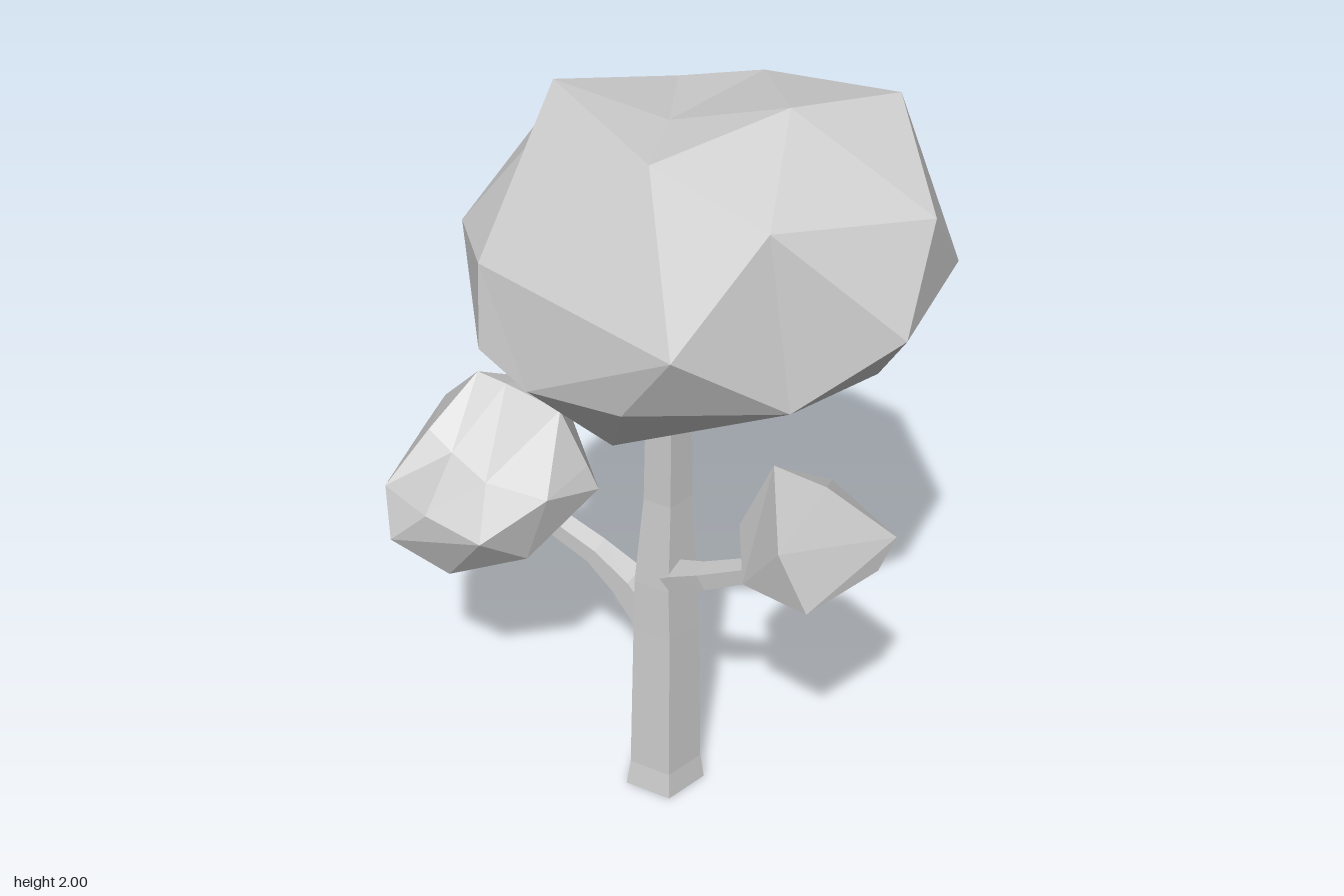
import * as THREE from 'three';
import { ConvexGeometry } from 'three/addons/geometries/ConvexGeometry.js';

const material = new THREE.MeshStandardMaterial({ color: 0xcccccc, flatShading: true });

function makeMesh(name, geometry) {
  geometry.computeVertexNormals();
  const mesh = new THREE.Mesh(geometry, material);
  mesh.name = name;
  return mesh;
}

// Faceted clump that may have dents: corners are joined by the hull of their
// directions from the centre, then moved back to their true distances.
function clump(name, center, corners) {
  const c = new THREE.Vector3(...center);
  const points = corners.map((p) => new THREE.Vector3(...p));
  const dirs = points.map((p) => p.clone().sub(c).normalize());
  const geometry = new ConvexGeometry(dirs);
  const pos = geometry.attributes.position;
  const v = new THREE.Vector3();
  for (let i = 0; i < pos.count; i++) {
    v.fromBufferAttribute(pos, i);
    let best = 0;
    dirs.forEach((d, k) => {
      if (d.dot(v) > dirs[best].dot(v)) best = k;
    });
    pos.setXYZ(i, points[best].x, points[best].y, points[best].z);
  }
  return makeMesh(name, geometry);
}

// Five-sided limb lofted through rings of [x, y, z, radius].
function limb(name, rings, upright = false) {
  const sides = 5;
  const centers = rings.map((r) => new THREE.Vector3(r[0], r[1], r[2]));
  const positions = [];
  const index = [];
  rings.forEach((ring, i) => {
    const t = upright
      ? new THREE.Vector3(0, 1, 0)
      : centers[Math.min(i + 1, rings.length - 1)].clone().sub(centers[Math.max(i - 1, 0)]).normalize();
    const u = t.clone().cross(new THREE.Vector3(0, 0, 1)).normalize();
    const w = t.clone().cross(u);
    for (let j = 0; j < sides; j++) {
      // One corner points to the back, one flat side to the front
      const a = Math.PI / 2 + (j / sides) * Math.PI * 2;
      const p = centers[i].clone()
        .addScaledVector(u, Math.cos(a) * ring[3])
        .addScaledVector(w, Math.sin(a) * ring[3]);
      positions.push(p.x, p.y, p.z);
    }
  });
  for (let i = 0; i < rings.length - 1; i++) {
    for (let j = 0; j < sides; j++) {
      const a = i * sides + j;
      const b = i * sides + ((j + 1) % sides);
      index.push(a, b, b + sides, a, b + sides, a + sides);
    }
  }
  // End caps
  const top = (rings.length - 1) * sides;
  for (let j = 1; j < sides - 1; j++) {
    index.push(0, j + 1, j, top, top + j, top + j + 1);
  }
  const geometry = new THREE.BufferGeometry();
  geometry.setAttribute('position', new THREE.Float32BufferAttribute(positions, 3));
  geometry.setIndex(index);
  return makeMesh(name, geometry.toNonIndexed());
}

export function createModel() {
  const tree = new THREE.Group();
  tree.name = 'tree';

  // Trunk with a slightly flared foot
  tree.add(limb('trunk', [
    [0.05, 0, 0.052, 0.106],
    [0.05, 0.07, 0.05, 0.095],
    [0.047, 0.5, 0.042, 0.086],
    [0.045, 0.65, 0.043, 0.08],
    [0.055, 0.9, 0.047, 0.062],
    [0.06, 1.16, 0.055, 0.057],
  ], true));

  // Branches
  tree.add(limb('rightBranch', [
    [0.02, 0.52, 0.05, 0.06],
    [-0.05, 0.61, 0.06, 0.05],
    [-0.13, 0.675, 0.07, 0.038],
    [-0.35, 0.79, 0.09, 0.032],
  ]));
  tree.add(limb('leftBranch', [
    [0.05, 0.63, 0.05, 0.055],
    [0.12, 0.69, 0.08, 0.045],
    [0.2, 0.745, 0.11, 0.036],
    [0.42, 0.885, 0.15, 0.028],
  ]));

  // Large crown with a step running down the back of its top
  tree.add(clump('crown', [0.13, 1.54, 0.02], [
    // top
    [-0.15, 2.0, 0.18], [0.34, 1.99, 0.04], [0.49, 1.96, -0.19], [-0.01, 1.91, -0.12],
    [0.16, 1.93, -0.2], [0.43, 1.85, 0.31], [0.13, 1.91, 0.27], [-0.22, 1.85, 0.04],
    [0.08, 1.92, 0.09],
    // step
    [-0.05, 1.76, -0.15], [0.02, 1.77, -0.3],
    // middle
    [0.68, 1.82, 0.04], [0.69, 1.6, 0.18], [0.68, 1.64, -0.11], [0.24, 1.77, -0.39],
    [0.42, 1.48, -0.36], [0.05, 1.6, -0.49], [-0.1, 1.64, -0.37], [-0.31, 1.8, -0.11],
    [-0.4, 1.59, 0.18], [-0.23, 1.63, 0.38], [0.3, 1.6, 0.49], [-0.27, 1.63, -0.19],
    // underside
    [0.49, 1.43, 0.31], [0.56, 1.38, 0.01], [-0.05, 1.37, -0.36], [-0.37, 1.39, 0.05],
    [-0.22, 1.43, 0.41], [-0.08, 1.38, 0.44], [0.16, 1.4, 0.45],
    [-0.2, 1.15, 0.13], [0.01, 1.1, 0.02], [0.0, 1.12, 0.21], [0.31, 1.23, -0.1],
  ]));

  // Middle clump with a ledge along its front
  tree.add(clump('rightClump', [-0.42, 0.83, 0.09], [
    // top and ledge
    [-0.46, 1.09, 0.06], [-0.38, 1.08, 0.06], [-0.26, 1.01, 0.01], [-0.6, 0.94, 0.0],
    [-0.53, 0.97, 0.18], [-0.36, 1.02, -0.08], [-0.46, 0.93, 0.19], [-0.36, 0.88, 0.2],
    // middle
    [-0.69, 0.8, -0.03], [-0.57, 0.82, -0.13], [-0.41, 0.8, -0.16], [-0.32, 0.86, -0.15],
    [-0.18, 0.88, 0.02], [-0.15, 0.82, 0.02], [-0.2, 0.87, 0.18], [-0.3, 0.8, 0.33],
    [-0.43, 0.86, 0.36], [-0.53, 0.76, 0.37], [-0.6, 0.84, 0.28],
    // underside
    [-0.62, 0.72, 0.12], [-0.57, 0.65, 0.2], [-0.47, 0.62, 0.1], [-0.42, 0.64, 0.29],
    [-0.25, 0.69, 0.2], [-0.25, 0.7, 0.0], [-0.45, 0.69, -0.08],
  ]));

  // Small clump
  tree.add(clump('leftClump', [0.46, 0.94, 0.14], [
    [0.5, 1.12, 0.12], [0.33, 1.07, 0.04], [0.47, 1.04, 0.3], [0.46, 1.05, 0.0],
    [0.27, 0.91, 0.09], [0.36, 0.88, 0.25], [0.54, 0.89, 0.29], [0.64, 0.97, 0.03],
    [0.62, 0.9, 0.08], [0.52, 0.9, 0.01], [0.36, 0.9, 0.02], [0.43, 0.76, 0.13],
  ]));

  return tree;
}
